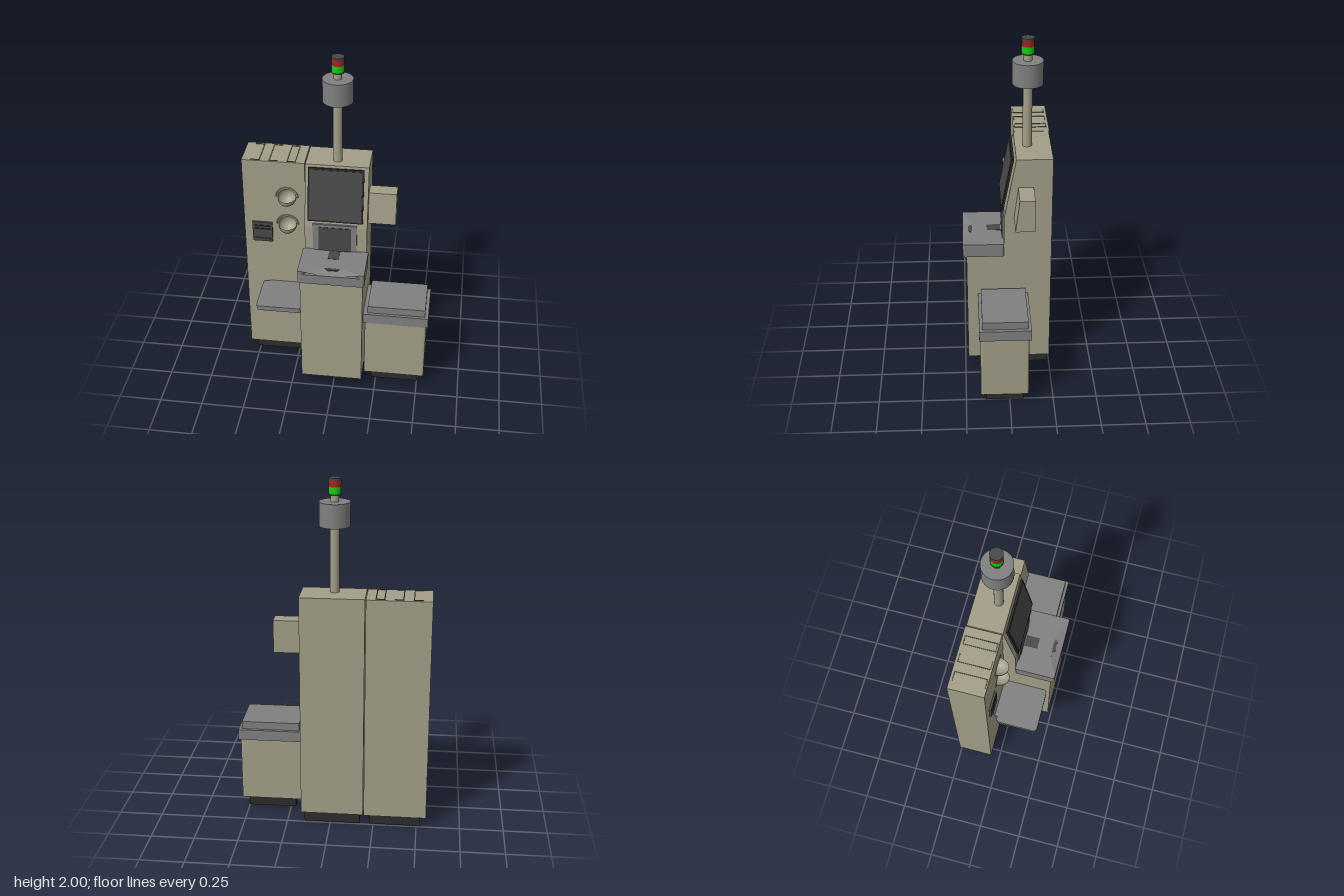
import * as THREE from 'three';

const mat = (color, side = THREE.FrontSide) => new THREE.MeshStandardMaterial({ color, side });
const TAN = mat(0xa39e88), TAN2 = mat(0xa39e88, THREE.DoubleSide);
const GREY = mat(0x808080), GREY2 = mat(0x808080, THREE.DoubleSide);
const DARK = mat(0x484848), BLACK = mat(0x2c2c2c), GROOVE = mat(0x55523f);
const RED = mat(0xa02424), GREEN = mat(0x10d010);

export function createModel() {
  const root = new THREE.Group();

  const add = (name, geo, material, parent = root) => {
    const m = new THREE.Mesh(geo, material);
    m.name = name;
    parent.add(m);
    return m;
  };
  // Box given by its limits on each axis
  const box = (name, material, x0, x1, y0, y1, z0, z1, parent = root) => {
    const m = add(name, new THREE.BoxGeometry(x1 - x0, y1 - y0, z1 - z0), material, parent);
    m.position.set((x0 + x1) / 2, (y0 + y1) / 2, (z0 + z1) / 2);
    return m;
  };
  // Side profile of [z, y] points swept from x0 to x1
  const sweep = (name, material, pts, x0, x1) => {
    const s = new THREE.Shape(pts.map(p => new THREE.Vector2(p[0], p[1])));
    const g = new THREE.ExtrudeGeometry(s, { depth: x1 - x0, bevelEnabled: false });
    g.rotateY(-Math.PI / 2).translate(x1, 0, 0);
    return add(name, g, material);
  };
  // Plan outline drawn in (x, -z), raised from y0 to y1
  const plate = (name, material, shape, y0, y1) => {
    const g = new THREE.ExtrudeGeometry(shape, { depth: y1 - y0, bevelEnabled: false, curveSegments: 16 });
    g.rotateX(-Math.PI / 2).translate(0, y0, 0);
    return add(name, g, material);
  };
  const roundRect = (x0, x1, z0, z1, r) => {
    const s = new THREE.Shape();
    s.absarc(x1 - r, -z0 - r, r, 0, Math.PI / 2);
    s.absarc(x0 + r, -z0 - r, r, Math.PI / 2, Math.PI);
    s.absarc(x0 + r, -z1 + r, r, Math.PI, Math.PI * 1.5);
    s.absarc(x1 - r, -z1 + r, r, Math.PI * 1.5, Math.PI * 2);
    s.closePath();
    return s;
  };

  // Main cabinet with sloped upper face and counter step
  sweep('mainCabinet', TAN, [[-0.25, 0.06], [0.232, 0.06], [0.232, 0.77], [0.02, 0.77],
    [0.02, 1.0], [-0.048, 1.37], [-0.25, 1.37]], -0.19, 0.17);
  box('mainPlinth', BLACK, -0.17, 0.15, 0, 0.06, -0.24, 0.0);

  // Payment cabinet: front skin pierced for the two cups
  const cups = [1.14, 0.955], cx = -0.3, cr = 0.052;
  const front = new THREE.Shape();
  front.moveTo(-0.555, 0.06).lineTo(-0.195, 0.06).lineTo(-0.195, 1.37).lineTo(-0.555, 1.37).closePath();
  for (const y of cups) front.holes.push(new THREE.Path().absarc(cx, y, cr, 0, Math.PI * 2, true));
  const frontGeo = new THREE.ExtrudeGeometry(front, { depth: 0.06, bevelEnabled: false, curveSegments: 20 });
  add('paymentCabinetFront', frontGeo.translate(0, 0, -0.11), TAN);
  box('paymentCabinet', TAN, -0.555, -0.195, 0.06, 1.37, -0.255, -0.11);
  box('paymentPlinth', BLACK, -0.52, -0.23, 0, 0.06, -0.24, -0.07);

  // Coin cups: hollow behind the skin, quarter sphere bulging below
  for (const y of cups) {
    const hollow = add('cupRecess', new THREE.SphereGeometry(cr, 28, 14, Math.PI, Math.PI), TAN2);
    hollow.position.set(cx, y, -0.05);
    const cup = add('coinCup', new THREE.SphereGeometry(cr, 28, 10, 0, Math.PI, Math.PI / 2, Math.PI / 2), TAN2);
    cup.position.set(cx, y, -0.05);
    cup.scale.z = 1.2;
    // Thin raised arch around the cup
    const arch = add('cupArch', new THREE.TorusGeometry(0.063, 0.004, 6, 28, Math.PI), TAN);
    arch.position.set(cx, y, -0.05);
  }

  // Card and note reader
  box('reader', DARK, -0.507, -0.39, 0.832, 0.962, -0.06, -0.038);
  for (const y of [0.935, 0.915]) box('readerSlot', BLACK, -0.495, -0.402, y, y + 0.008, -0.04, -0.034);
  box('readerLip', DARK, -0.495, -0.402, 0.842, 0.856, -0.04, -0.032);

  // Seams on the cabinet top
  const groove = (x0, x1, z0, z1) => box('topSeam', GROOVE, x0, x1, 1.368, 1.373, z0, z1);
  for (const [a, b, sides] of [[-0.505, -0.452, 'r'], [-0.4, -0.35, 'l'], [-0.298, -0.246, 'lr']]) {
    for (const z of [-0.242, -0.062]) groove(a, b, z, z + 0.005);
    if (sides.includes('l')) groove(a, a + 0.005, -0.24, -0.06);
    if (sides.includes('r')) groove(b - 0.005, b, -0.24, -0.06);
  }

  // Bag shelf
  plate('shelf', GREY, roundRect(-0.455, -0.189, -0.035, 0.215, 0.022), 0.515, 0.545);
  box('shelfBracket', GREY, -0.42, -0.2, 0.518, 0.54, -0.06, -0.02);

  // Upper display, tilted back and held off the sloped face
  const display = new THREE.Group();
  display.name = 'display';
  display.position.set(-0.013, 1.202, 0.0);
  display.rotation.x = -0.184;
  root.add(display);
  box('displayCase', BLACK, -0.158, 0.158, -0.161, 0.161, -0.008, 0.004, display);
  box('displayPanel', DARK, -0.148, 0.148, -0.151, 0.151, 0, 0.007, display);
  box('displayMount', DARK, -0.09, 0.09, -0.09, 0.09, -0.03, -0.007, display);

  // Lower scanner window
  box('scannerFrame', GREY, -0.142, 0.112, 0.77, 1.02, 0.0, 0.027);
  box('scannerWindow', DARK, -0.108, 0.079, 0.845, 1.002, 0.02, 0.03);

  // Counter with a shallow scooped front edge
  const [tx0, tx1, tz0, tz1, low, top] = [-0.2, 0.18, 0.02, 0.253, 0.825, 0.845];
  plate('counterBase', GREY, roundRect(tx0, tx1, tz0, tz1, 0.014), 0.765, low);
  const rim = new THREE.Shape();
  rim.moveTo(tx0, -tz0).lineTo(tx0, -tz1 + 0.014);
  rim.quadraticCurveTo(tx0, -tz1, tx0 + 0.014, -tz1).lineTo(-0.177, -tz1);
  rim.quadraticCurveTo(-0.01, -0.137, 0.157, -tz1).lineTo(tx1 - 0.014, -tz1);
  rim.quadraticCurveTo(tx1, -tz1, tx1, -tz1 + 0.014).lineTo(tx1, -tz0).closePath();
  plate('counterTop', GREY, rim, low, top);
  const pos = [], idx = [], N = 20;
  for (let i = 0; i <= N; i++) {
    const t = i / N, x = -0.177 + 0.334 * t, bow = 4 * t * (1 - t);
    pos.push(x, top, tz1 - 0.058 * bow, x, top - 0.018 * bow, tz1);
    if (i < N) idx.push(2 * i, 2 * i + 1, 2 * i + 2, 2 * i + 1, 2 * i + 3, 2 * i + 2);
  }
  const scoop = new THREE.BufferGeometry();
  scoop.setAttribute('position', new THREE.Float32BufferAttribute(pos, 3));
  scoop.setIndex(idx);
  scoop.computeVertexNormals();
  add('counterScoop', scoop, GREY2);
  box('counterGlass', DARK, -0.045, 0.019, 0.84, 0.847, 0.035, 0.112);
  const latch = new THREE.Shape();
  latch.moveTo(-0.055, -0.197).lineTo(-0.035, -0.217).lineTo(0.025, -0.217).lineTo(0.042, -0.197).closePath();
  plate('counterLatch', DARK, latch, 0.828, 0.844);

  // Side box on the right of the main cabinet
  sweep('sideBox', TAN, [[-0.145, 1.01], [-0.037, 1.01], [-0.06, 1.2], [-0.145, 1.2]], 0.165, 0.328);

  // Bagging unit
  plate('baggingBody', TAN, roundRect(0.18, 0.54, -0.107, 0.165, 0.012), 0.065, 0.45);
  box('baggingLid', GREY, 0.17, 0.55, 0.447, 0.51, -0.119, 0.171);
  box('baggingScale', GREY, 0.195, 0.53, 0.51, 0.556, -0.102, 0.154);
  box('baggingPlinth', BLACK, 0.222, 0.502, 0, 0.065, -0.08, 0.137);

  // Signal pole
  const cyl = (name, material, r, y0, y1) => {
    const m = add(name, new THREE.CylinderGeometry(r, r, y1 - y0, 32), material);
    m.position.set(-0.015, (y0 + y1) / 2, -0.117);
  };
  cyl('pole', TAN, 0.026, 1.36, 1.75);
  cyl('poleDrum', GREY, 0.085, 1.74, 1.872);
  cyl('poleNeck', TAN, 0.023, 1.87, 1.92);
  cyl('lampBase', DARK, 0.035, 1.908, 1.916);
  cyl('greenLamp', GREEN, 0.034, 1.916, 1.953);
  cyl('redLamp', RED, 0.034, 1.953, 1.99);
  cyl('lampCap', DARK, 0.035, 1.99, 2.0);

  return root;
}
